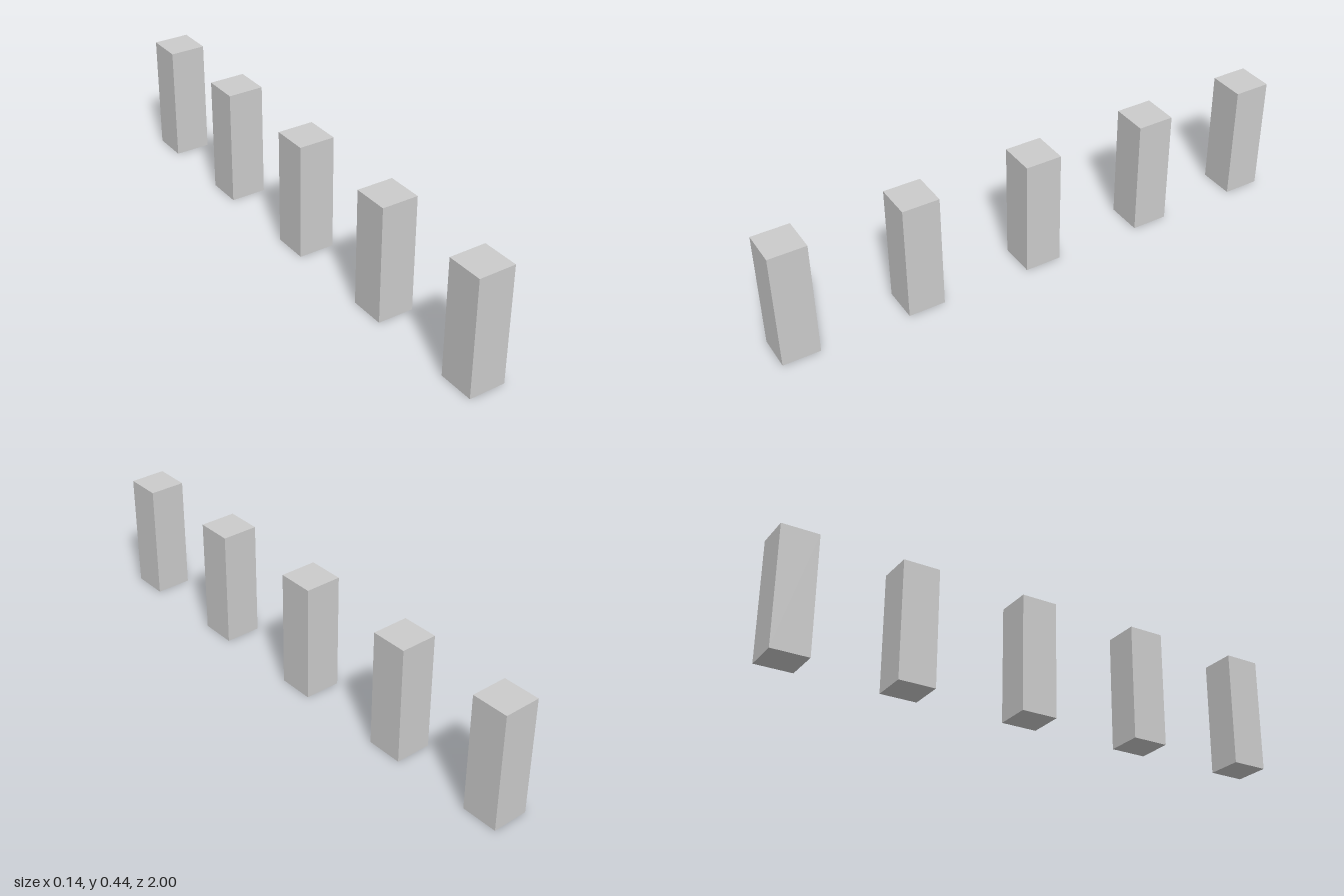
import * as THREE from 'three';

export function createModel() {
  const group = new THREE.Group();
  group.name = 'postRow';
  const material = new THREE.MeshStandardMaterial({ color: 0xcccccc, flatShading: true });

  // One square post, shared by the whole row
  const width = 0.138, height = 0.445;
  const geometry = new THREE.BoxGeometry(width, height, width);
  geometry.translate(0, height / 2, 0);

  // Slightly uneven spacing from front to back
  [0.931, 0.461, -0.014, -0.488, -0.931].forEach((z, i) => {
    const post = new THREE.Mesh(geometry, material);
    post.name = `post${i + 1}`;
    post.position.z = z;
    group.add(post);
  });

  return group;
}
